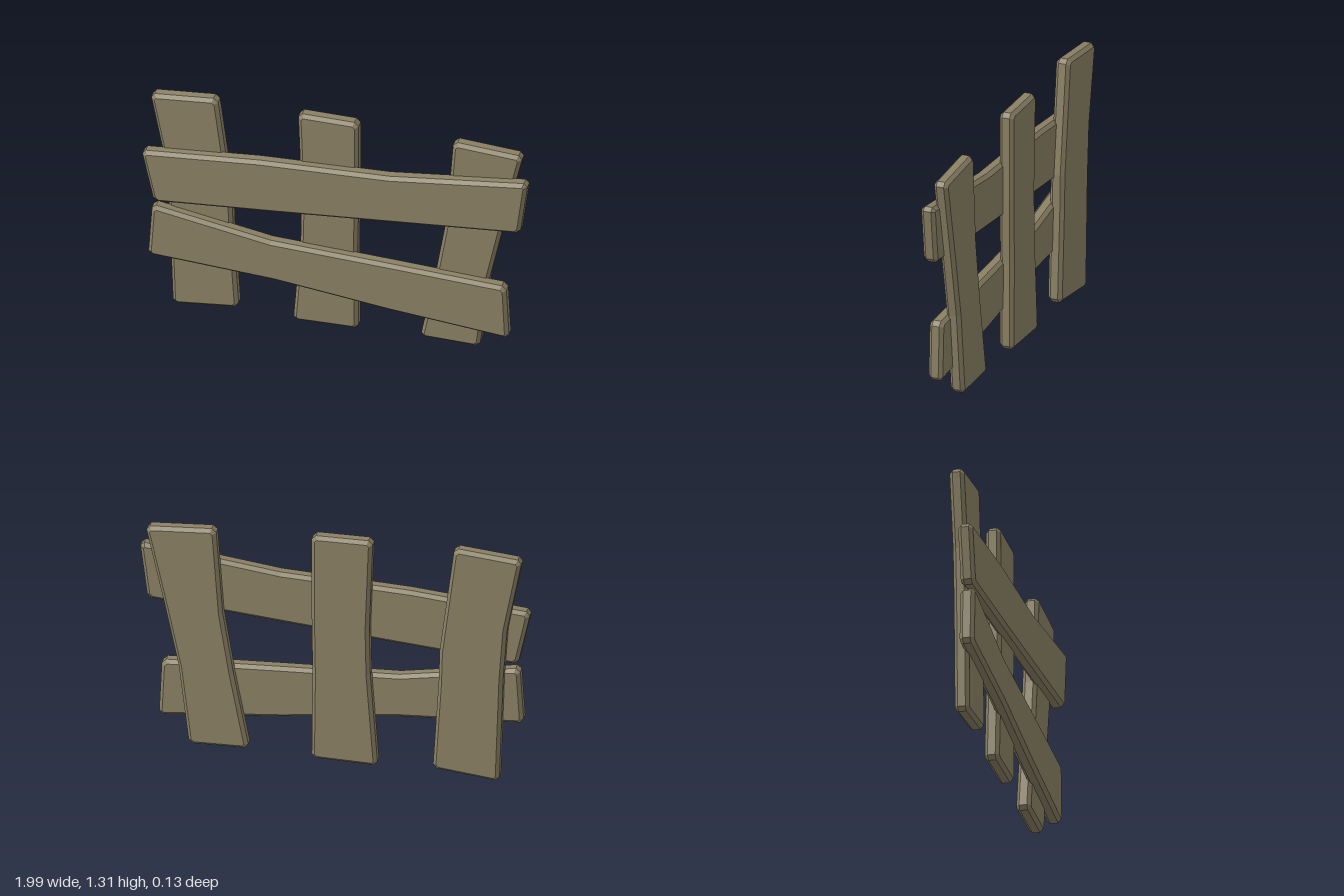
import * as THREE from 'three';

const THICK = 0.076, BEVEL = 0.018, CLIP = 0.022;

// Cut the sharp corners of an outline, keep its gentle bends
function clipCorners(points) {
  const out = [];
  points.forEach((p, i) => {
    const prev = points.at(i - 1).clone().sub(p).normalize();
    const next = points[(i + 1) % points.length].clone().sub(p).normalize();
    if (prev.dot(next) < -0.7) out.push(p);
    else out.push(p.clone().addScaledVector(prev, CLIP), p.clone().addScaledVector(next, CLIP));
  });
  return out;
}

// Rough-cut board: bent outline with chamfered front and back edges
function plank(name, outline, zBack, material) {
  const shape = new THREE.Shape(clipCorners(outline.map(([x, y]) => new THREE.Vector2(x, y))));
  const geometry = new THREE.ExtrudeGeometry(shape, {
    depth: THICK - 2 * BEVEL, steps: 1, bevelEnabled: true, bevelSegments: 1,
    bevelThickness: BEVEL, bevelSize: BEVEL, bevelOffset: -BEVEL,
  });
  geometry.translate(0, 0, zBack + BEVEL);
  const mesh = new THREE.Mesh(geometry, material);
  mesh.name = name;
  return mesh;
}

export function createModel() {
  const wood = new THREE.MeshStandardMaterial({ color: 0x8a8064, flatShading: true });
  wood.name = 'weathered wood';

  const group = new THREE.Group();
  group.name = 'brokenFence';

  // Upright posts, outlines counter-clockwise from the lower left
  const posts = {
    rightPost: [[-0.85, 0.003], [-0.51, 0.04], [-0.54, 0.54], [-0.545, 0.72], [-0.62, 1.32],
      [-0.967, 1.288], [-0.89, 0.88], [-0.87, 0.6]],
    middlePost: [[-0.228, 0.018], [0.11, 0.025], [0.105, 0.5], [0.11, 0.85], [0.11, 1.307],
      [-0.203, 1.31], [-0.185, 0.8], [-0.19, 0.54]],
    leftPost: [[0.43, 0.04], [0.737, 0.033], [0.79, 0.475], [0.86, 0.81], [0.96, 1.26],
      [0.6, 1.285], [0.565, 0.8], [0.51, 0.46]],
  };
  for (const [name, outline] of Object.entries(posts)) group.add(plank(name, outline, -0.063, wood));

  // Cross rails nailed to the front of the posts
  const rails = {
    upperRail: [[-0.935, 0.66], [-0.31, 0.71], [0.33, 0.765], [0.96, 0.82],
      [1.0, 1.135], [0.28, 1.045], [-0.39, 1.018], [-1.0, 0.965]],
    lowerRail: [[-0.965, 0.325], [-0.31, 0.285], [0.28, 0.212], [0.902, 0.152],
      [0.887, 0.47], [0.28, 0.5], [-0.33, 0.527], [-0.945, 0.637]],
  };
  for (const [name, outline] of Object.entries(rails)) group.add(plank(name, outline, -0.011, wood));

  return group;
}
